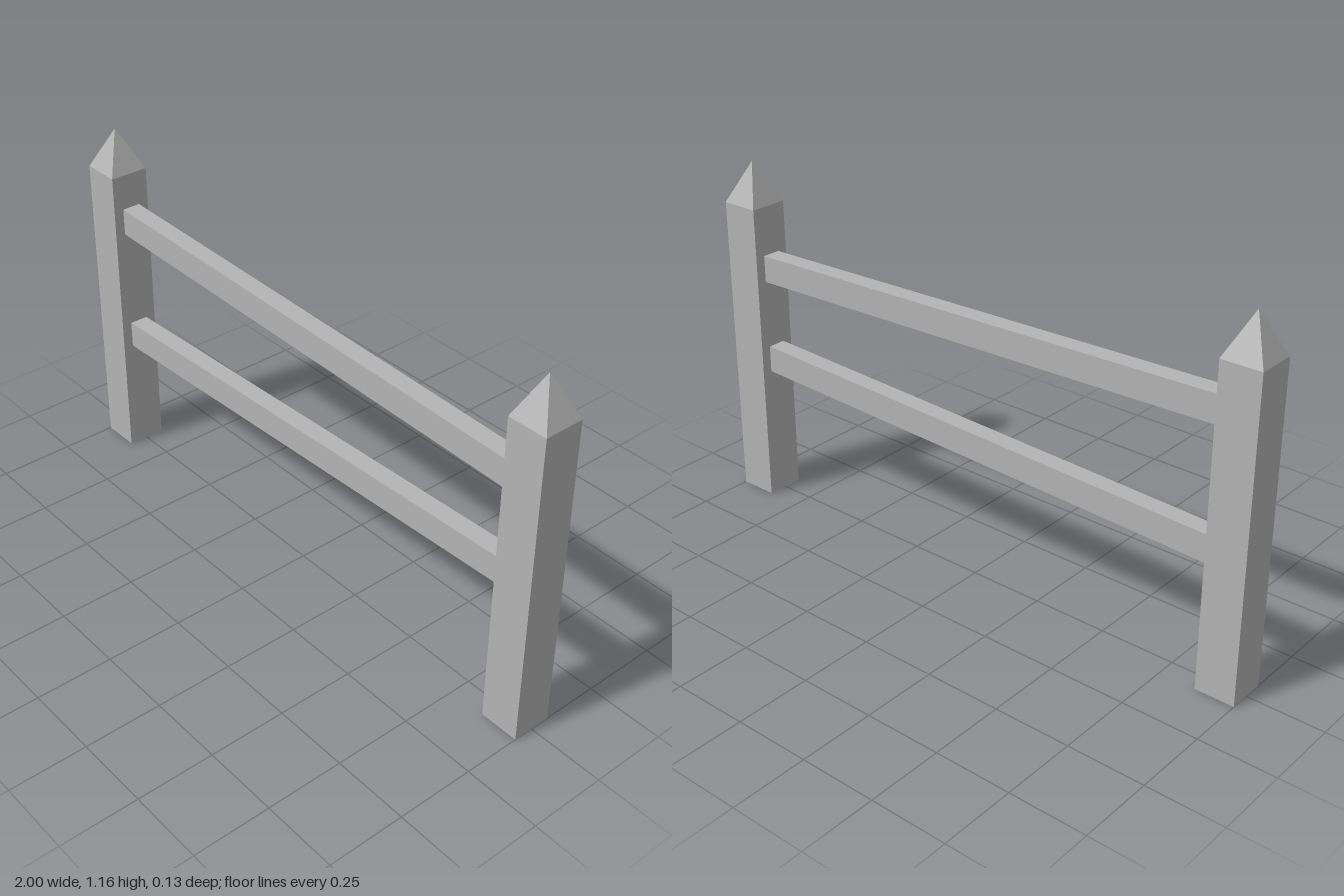
import * as THREE from 'three';

const POST_W = 0.13, POST_H = 1.03, TIP_H = 0.135, POST_X = 0.935;
const RAIL_H = 0.09, RAIL_D = 0.062, RAIL_L = 1.74;

export function createModel() {
  const group = new THREE.Group();
  group.name = 'fence';
  const grey = new THREE.MeshStandardMaterial({ color: 0xb4b4b4 });
  grey.name = 'grey';

  const add = (parent, name, geometry, y) => {
    const mesh = new THREE.Mesh(geometry, grey);
    mesh.name = name;
    mesh.position.y = y;
    parent.add(mesh);
  };

  // Square posts with four-sided pointed tops
  const postGeo = new THREE.BoxGeometry(POST_W, POST_H, POST_W);
  const tipGeo = new THREE.ConeGeometry(POST_W / Math.SQRT2, TIP_H, 4, 1, true)
    .rotateY(Math.PI / 4).toNonIndexed();
  tipGeo.computeVertexNormals();
  for (const [name, side] of [['leftPost', 1], ['rightPost', -1]]) {
    const post = new THREE.Group();
    post.name = name;
    post.position.x = side * POST_X;
    add(post, name + 'Shaft', postGeo, POST_H / 2);
    add(post, name + 'Tip', tipGeo, POST_H + TIP_H / 2);
    group.add(post);
  }

  // Slanted rails: boxes sheared so their ends stay flush with the posts
  const addRail = (name, yRight, yLeft) => {
    const geo = new THREE.BoxGeometry(RAIL_L, RAIL_H, RAIL_D);
    const pos = geo.attributes.position;
    const slope = (yLeft - yRight) / RAIL_L;
    for (let i = 0; i < pos.count; i++) pos.setY(i, pos.getY(i) + slope * pos.getX(i));
    geo.computeVertexNormals();
    add(group, name, geo, (yLeft + yRight) / 2);
  };
  addRail('upperRail', 0.867, 0.821);
  addRail('lowerRail', 0.44, 0.5);

  return group;
}
